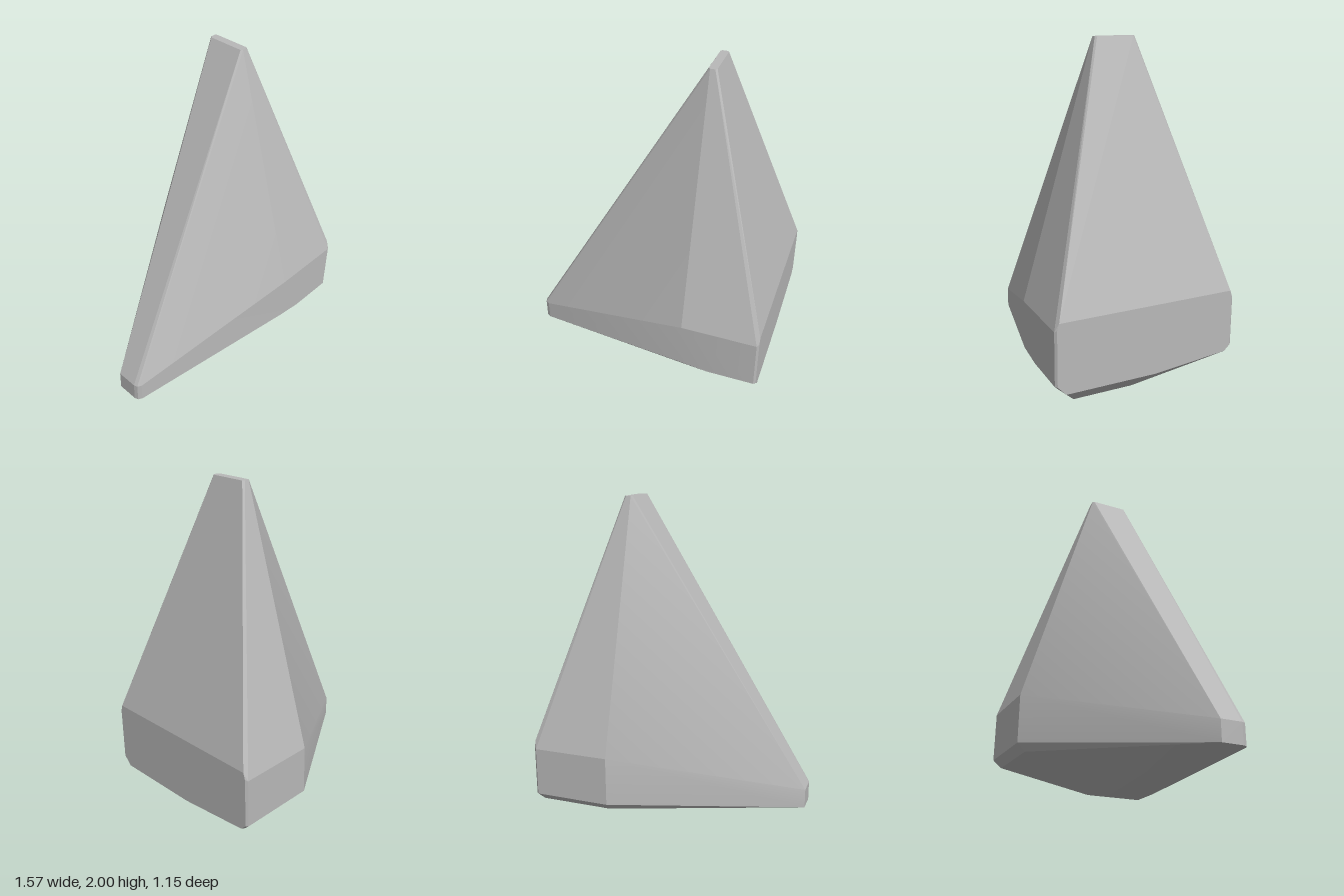
import * as THREE from 'three';
import { ConvexGeometry } from 'three/addons/geometries/ConvexGeometry.js';
import { toCreasedNormals } from 'three/addons/utils/BufferGeometryUtils.js';

export function createModel() {
  const group = new THREE.Group();
  const stone = new THREE.MeshStandardMaterial({ color: 0xb8b8b8 });
  stone.name = 'grey stone';

  const points = [];
  const add = (x, y, z) => points.push(new THREE.Vector3(x, y, z));

  // narrow flat summit and the broad shoulders, mirrored front to back
  for (const s of [1, -1]) {
    add(0.285, 2, s * 0.115);
    add(0.295, 2, s * 0.125);
    add(0.325, 2, s * 0.125);
    add(0.335, 2, s * 0.115);
    add(0.3, 0.48, s * 0.574);
    add(0.77, 0.48, s * 0.574);
    add(0.783, 0.49, s * 0.562);
    add(0.783, 0.53, s * 0.55);
  }

  // lower front edge
  add(0.3, 0.18, 0.574);
  add(0.47, 0.155, 0.574);
  add(0.77, 0.155, 0.574);
  add(0.783, 0.155, 0.562);
  add(0.783, 0.1, 0.51);

  // lower back edge with its small bevel
  add(0.3, 0.18, -0.574);
  add(0.77, 0.18, -0.574);
  add(0.783, 0.18, -0.562);
  add(0.3, 0.13, -0.525);
  add(0.75, 0.13, -0.525);
  add(0.783, 0.145, -0.525);
  add(0.783, 0.1, -0.05);

  // flat base
  add(0.683, 0, 0.425);
  add(0.683, 0, 0.055);
  add(0.47, 0, 0.425);

  // low tip, blunt towards the front
  for (const y of [0, 0.125]) {
    add(-0.787, y, 0.148);
    add(-0.787, y, 0.28);
    add(-0.779, y, 0.303);
    add(-0.755, y, 0.317);
  }

  const geometry = toCreasedNormals(new ConvexGeometry(points), 0.25);
  const rock = new THREE.Mesh(geometry, stone);
  rock.name = 'pointedRock';
  group.add(rock);
  return group;
}
